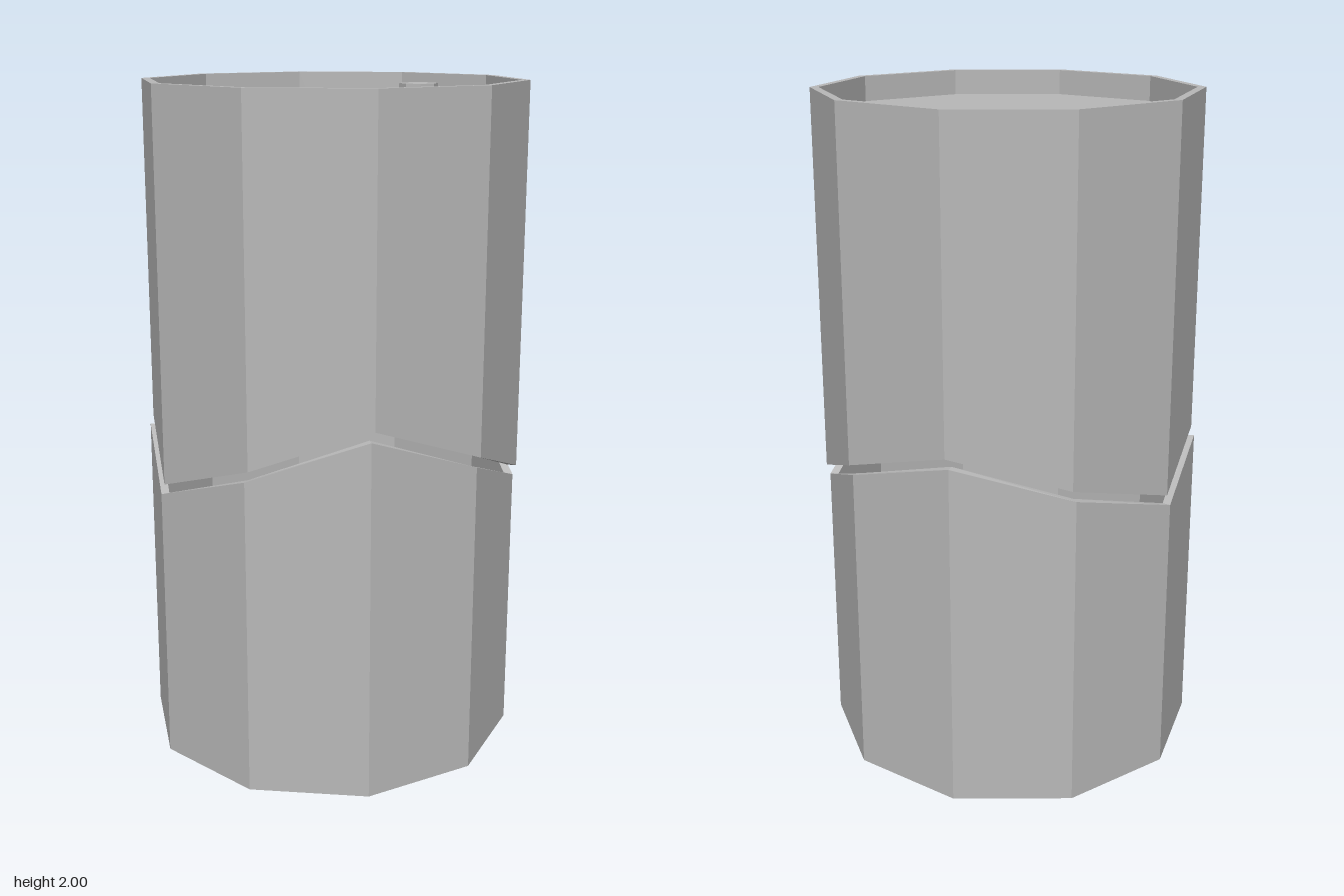
import * as THREE from 'three';

const SIDES = 10;
const OUTER = 0.565;
const INNER = 0.54;
const GAP = 0.03;

// Height of the zigzag cut at each corner, counted from +z towards +x
const CUT = [0.945, 0.82, 0.945, 1.04, 0.945, 0.85, 0.945, 0.83, 0.945, 1.07];

const grey = new THREE.MeshStandardMaterial({ color: 0xb8b8b8, flatShading: true });
grey.name = 'grey metal';

function part(name, geometry, x = 0, y = 0, z = 0) {
  const mesh = new THREE.Mesh(geometry, grey);
  mesh.name = name;
  mesh.position.set(x, y, z);
  return mesh;
}

// Hollow ten-sided wall; corners lying at y = 1 follow the zigzag cut
function shellGeometry(bottom, top, lift) {
  const profile = [
    [OUTER, bottom], [OUTER, top], [INNER, top], [INNER, bottom], [OUTER, bottom],
  ].map(([r, y]) => new THREE.Vector2(r, y));
  const geometry = new THREE.LatheGeometry(profile, SIDES);
  const pos = geometry.attributes.position;
  for (let i = 0; i < pos.count; i++) {
    const corner = Math.floor(i / profile.length) % SIDES;
    if (pos.getY(i) === 1) pos.setY(i, CUT[corner] + lift);
  }
  const flat = geometry.toNonIndexed();
  flat.computeVertexNormals();
  return flat;
}

// Thin plate closing one end inside the wall
const plate = () => new THREE.CylinderGeometry(INNER, INNER, 0.02, SIDES);

export function createModel() {
  const model = new THREE.Group();
  model.name = 'splitBarrel';

  // Lower half with recessed base
  const lower = new THREE.Group();
  lower.name = 'lowerHalf';
  lower.position.set(-0.003, 0, -0.004);
  lower.add(part('lowerWall', shellGeometry(0, 1, 0)));
  lower.add(part('basePlate', plate(), 0, 0.06, 0));

  // Upper half with recessed lid and filler cap
  const upper = new THREE.Group();
  upper.name = 'upperHalf';
  upper.position.set(0.003, 0, 0.004);
  upper.add(part('upperWall', shellGeometry(1, 2, GAP)));
  upper.add(part('lid', plate(), 0, 1.915, 0));
  upper.add(part('fillerCap', new THREE.CylinderGeometry(0.06, 0.06, 0.06, 8), 0.397, 1.945, -0.004));

  model.add(lower, upper);
  return model;
}
